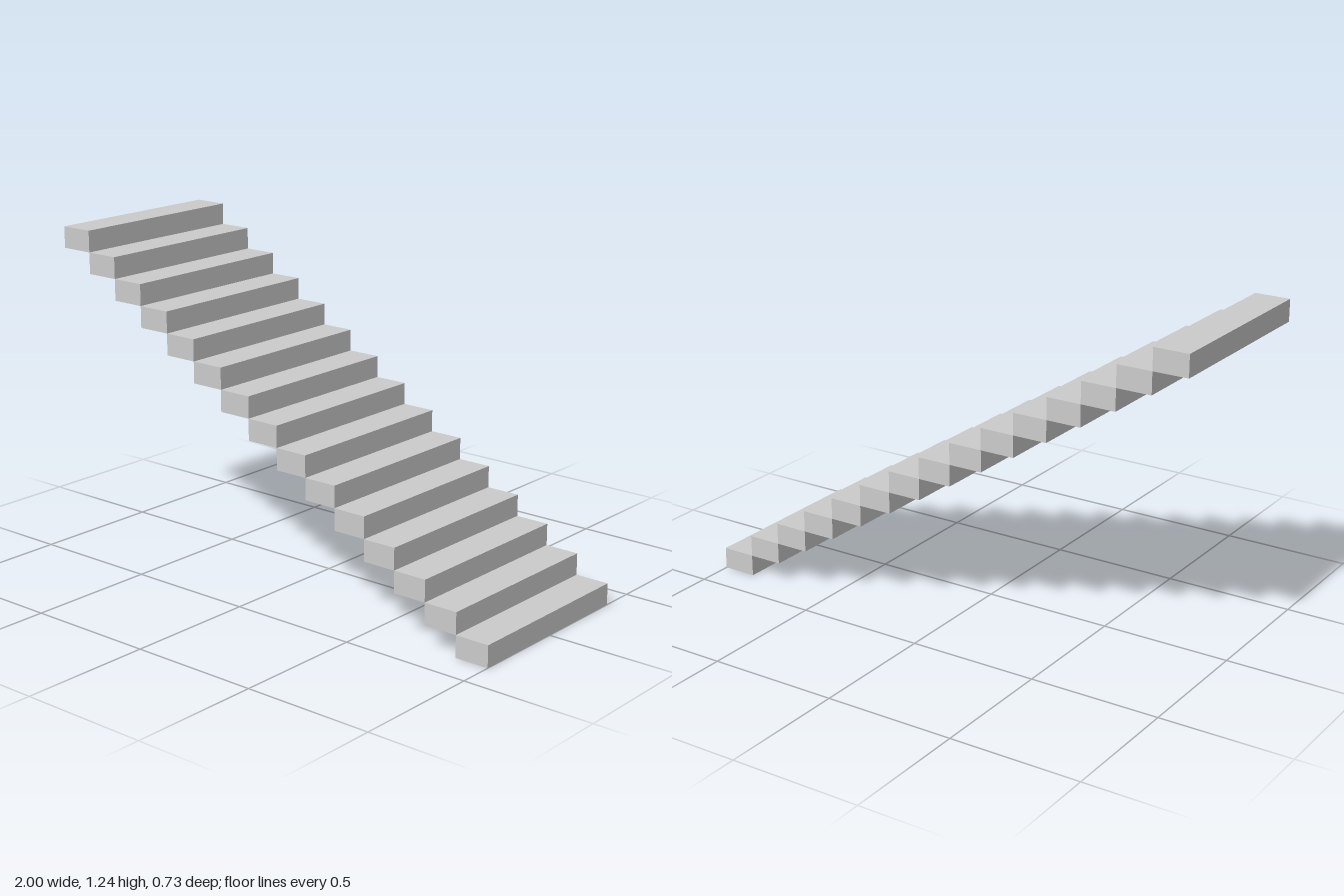
import * as THREE from 'three';

const COUNT = 15;
const RUN = 2 / COUNT;       // tread depth along x
const RISE = 1.242 / COUNT;  // step height
const WIDTH = 0.734;         // stair width along z

export function createModel() {
  const stairs = new THREE.Group();
  stairs.name = 'staircase';
  const material = new THREE.MeshStandardMaterial({ color: 0xcccccc, flatShading: true });
  const block = new THREE.BoxGeometry(RUN, RISE, WIDTH);

  // Solid steps meeting edge to edge, climbing towards -x
  for (let i = 0; i < COUNT; i++) {
    const step = new THREE.Mesh(block, material);
    step.name = `step${i + 1}`;
    step.position.set(1 - (i + 0.5) * RUN, (i + 0.5) * RISE, 0);
    stairs.add(step);
  }
  return stairs;
}
